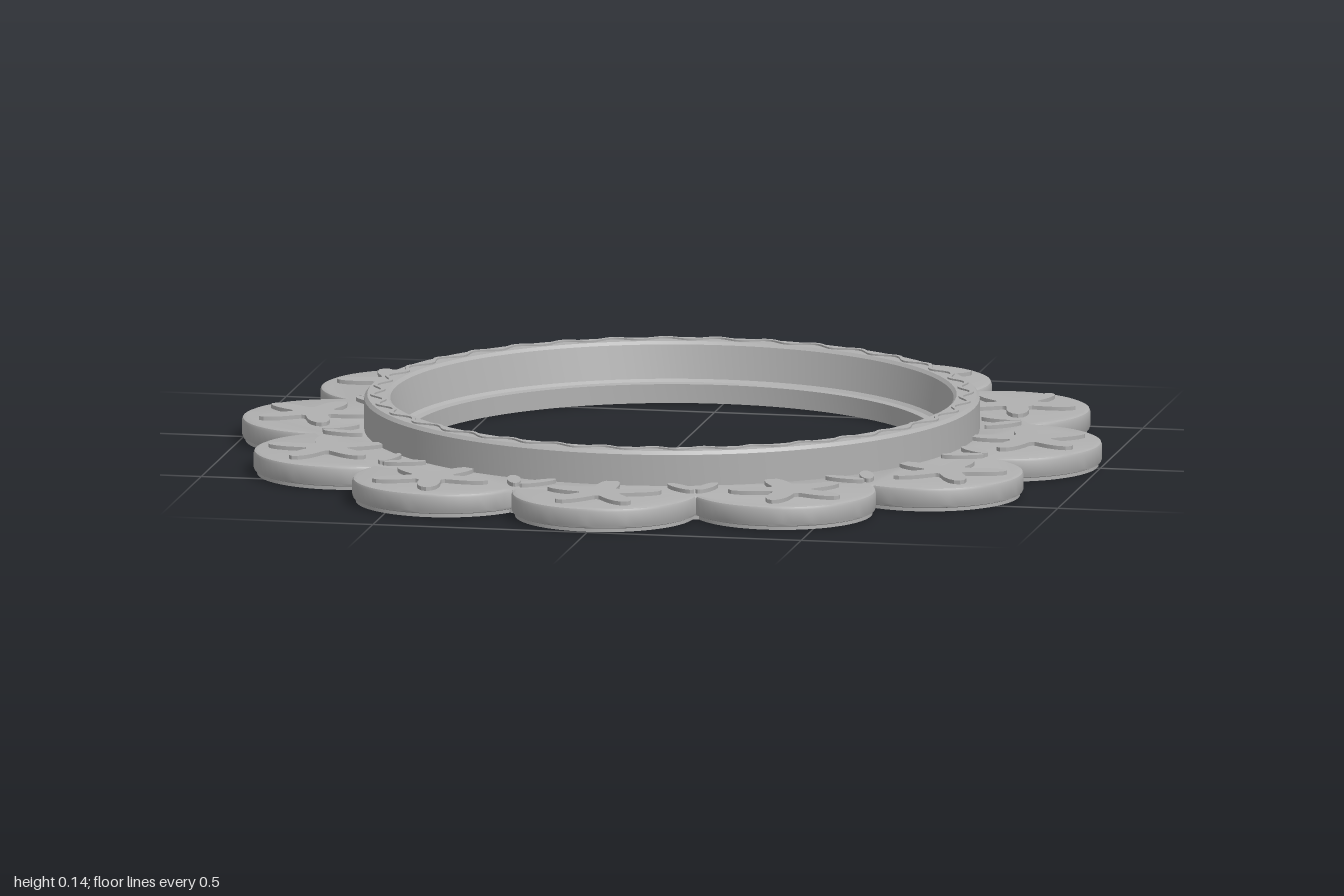
import * as THREE from 'three';
import { toCreasedNormals } from 'three/addons/utils/BufferGeometryUtils.js';

const PETALS = 12;
const CENTRE = 0.785; // distance of petal centres from the middle
const RADIUS = 0.215; // petal radius
const STEP = (Math.PI * 2) / PETALS;

const vec = (r, a) => new THREE.Vector2(r * Math.cos(a), r * Math.sin(a));

// Closed loop of points from a polar rule
function polar(count, rule) {
  return Array.from({ length: count }, (_, i) => {
    const a = (i / count) * Math.PI * 2;
    return vec(rule(a), a);
  });
}

// Scalloped outline made of petal arcs of radius r
function scallops(r) {
  const pts = [];
  const half = 1.497;
  for (let p = 0; p < PETALS; p++) {
    const a = p * STEP;
    for (let i = 0; i <= 28; i++) {
      pts.push(vec(r, a - half + (2 * half * i) / 28).add(vec(CENTRE, a)));
    }
  }
  return pts;
}

function shapeWithHoles(outline, ...holes) {
  const shape = new THREE.Shape(outline);
  holes.forEach((h) => shape.holes.push(new THREE.Path(h)));
  return shape;
}

// Place motif points at radius r along direction a, turned by spin
function place(pts, r, a, spin = 0) {
  const origin = new THREE.Vector2();
  return pts.map((p) => p.clone().rotateAround(origin, a + spin).add(vec(r, a)));
}

export function createModel() {
  const model = new THREE.Group();
  const grey = new THREE.MeshStandardMaterial({ color: 0xb0b0b0 });
  grey.name = 'plain grey';

  const add = (name, geometry) => {
    const mesh = new THREE.Mesh(toCreasedNormals(geometry, 0.5), grey);
    mesh.name = name;
    model.add(mesh);
  };

  // Flat slab lying between heights y0 and y1, with optional chamfer
  const slab = (name, shapes, y0, y1, bevel = 0) => {
    const g = new THREE.ExtrudeGeometry(shapes, {
      depth: y1 - y0 - 2 * bevel, curveSegments: 24, bevelEnabled: bevel > 0,
      bevelThickness: bevel, bevelSize: bevel, bevelOffset: -bevel, bevelSegments: 2,
    });
    g.translate(0, 0, y0 + bevel);
    g.rotateX(-Math.PI / 2);
    add(name, g);
  };

  const circle = (r, n = 96) => polar(n, () => r);
  const peg = place(circle(0.03, 24), CENTRE, Math.PI / 2);

  // Petalled plate with the hanging hole in its back petal
  slab('petalPlate', shapeWithHoles(scallops(RADIUS), circle(0.66), peg), 0.008, 0.056, 0.008);

  // Raised ring with a stepped inner seat
  const profile = [
    [0.605, 0], [0.655, 0], [0.662, 0.012], [0.705, 0.012], [0.705, 0.128],
    [0.698, 0.136], [0.652, 0.136], [0.645, 0.129], [0.63, 0.052],
    [0.622, 0.046], [0.605, 0.044], [0.605, 0],
  ].map(([x, y]) => new THREE.Vector2(x, y));
  add('raisedRing', new THREE.LatheGeometry(profile, 128));

  // Lip around the underside, and around the hanging hole
  slab('undersideLip', shapeWithHoles(scallops(0.207), scallops(0.194)), 0, 0.012);
  slab('holeLip', shapeWithHoles(place(circle(0.045, 24), CENTRE, Math.PI / 2), peg), 0.002, 0.012);

  // Star and leaf motifs on every petal but the one with the hole
  const star = polar(70, (a) => 0.05 + 0.09 * Math.pow((1 + Math.cos(5 * a)) / 2, 1.4));
  const leaf = Array.from({ length: 20 }, (_, i) => {
    const a = (i / 20) * Math.PI * 2;
    return new THREE.Vector2(0.05 * Math.cos(a), 0.016 * Math.sin(a));
  });
  const stars = [];
  const leaves = [];
  for (let p = 0; p < PETALS; p++) {
    if (p === 3) continue;
    const a = p * STEP;
    stars.push(new THREE.Shape(place(star, 0.835, a, Math.PI)));
    for (const s of [-1, 1]) {
      leaves.push(new THREE.Shape(place(leaf, 0.758, a + s * 0.222, s * 0.55)));
    }
  }
  for (const [side, y0, y1] of [['upper', 0.05, 0.065], ['lower', 0, 0.012]]) {
    slab(side + 'Stars', stars, y0, y1);
    slab(side + 'Leaves', leaves, y0, y1);
  }

  // Wavy bands on the ring's top and on the underside
  const wave = (r, amp, w) => {
    const edge = (d) => polar(432, (a) => r + d + amp * Math.sin(36 * a));
    return shapeWithHoles(edge(w), edge(-w));
  };
  slab('upperWave', wave(0.675, 0.012, 0.005), 0.13, 0.14);
  slab('lowerWave', wave(0.69, 0.012, 0.005), 0.002, 0.014);

  return model;
}
